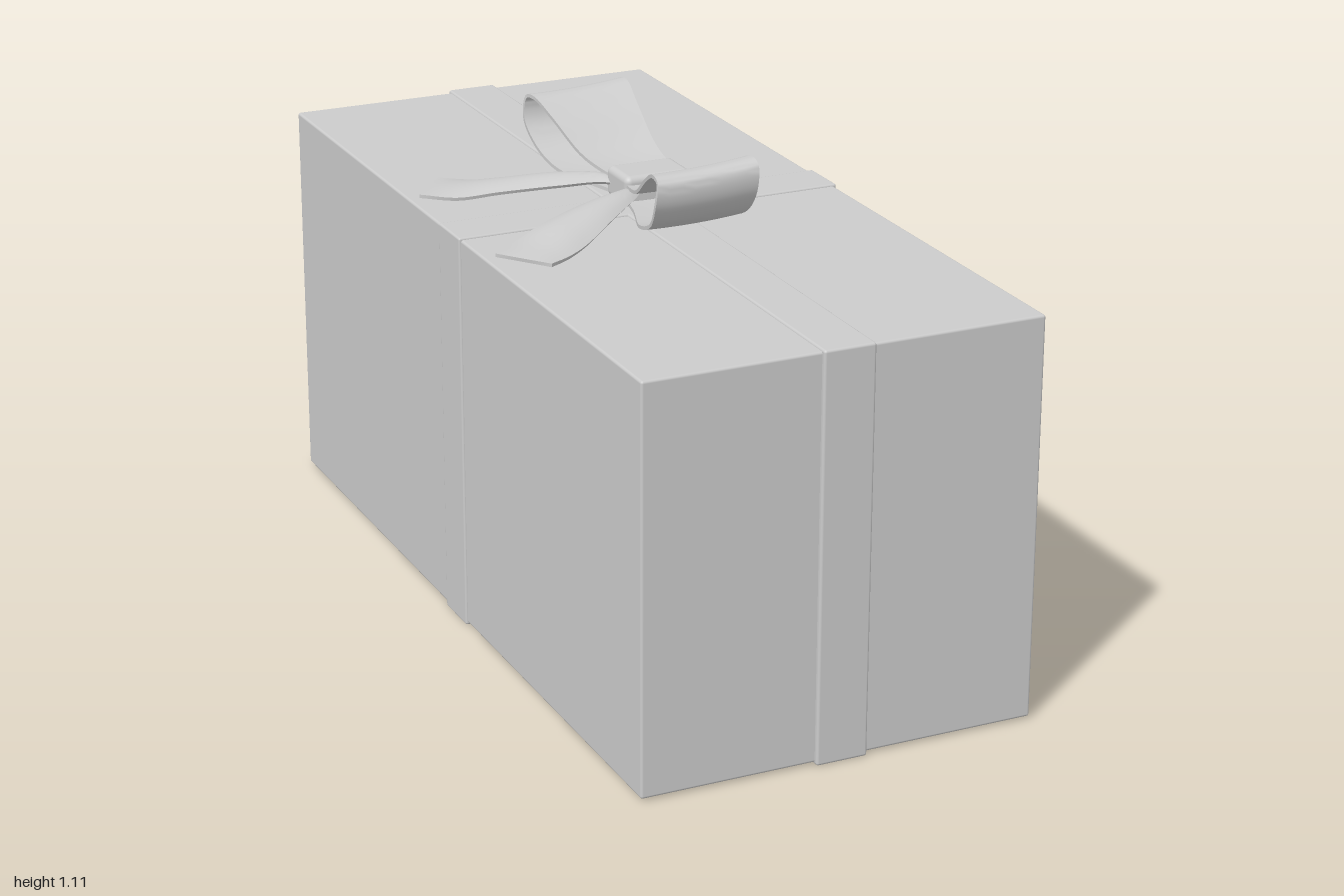
import * as THREE from 'three';
import { toCreasedNormals } from 'three/addons/utils/BufferGeometryUtils.js';
import { RoundedBoxGeometry } from 'three/addons/geometries/RoundedBoxGeometry.js';

const material = new THREE.MeshStandardMaterial({ color: 0xcccccc, side: THREE.DoubleSide });

function addMesh(group, name, geometry, x = 0, y = 0, z = 0) {
  const mesh = new THREE.Mesh(geometry, material);
  mesh.name = name;
  mesh.position.set(x, y, z);
  group.add(mesh);
  return mesh;
}

// Thin cloth band swept between two edge curves; arch(u) lifts its middle
function ribbonGeometry(leftEdge, rightEdge, arch, steps = 40, across = 8, half = 0.004) {
  const left = new THREE.CatmullRomCurve3(leftEdge);
  const right = new THREE.CatmullRomCurve3(rightEdge);
  const at = (u, v) => {
    const p = left.getPoint(u).lerp(right.getPoint(u), v);
    p.y += arch(u) * 4 * v * (1 - v);
    return p;
  };
  const positions = [], index = [], ring = 2 * (across + 1), e = 0.004;
  for (let i = 0; i <= steps; i++) {
    const u = i / steps;
    const u0 = Math.max(0, u - e), u1 = Math.min(1, u + e);
    for (let k = 0; k < ring; k++) {
      const top = k <= across;
      const v = (top ? k : ring - 1 - k) / across;
      const along = at(u1, v).sub(at(u0, v));
      const side = at(u, Math.min(1, v + e)).sub(at(u, Math.max(0, v - e)));
      const normal = along.cross(side).normalize();
      const p = at(u, v).addScaledVector(normal, top ? half : -half);
      positions.push(p.x, p.y, p.z);
    }
  }
  for (let i = 0; i < steps; i++) {
    for (let k = 0; k < ring; k++) {
      const a = i * ring + k, b = i * ring + (k + 1) % ring;
      index.push(a, a + ring, b + ring, a, b + ring, b);
    }
  }
  // close both cut ends
  const last = steps * ring;
  for (let k = 0; k < across; k++) {
    const m = ring - 1 - k;
    index.push(k, k + 1, m, k + 1, m - 1, m);
    index.push(last + k, last + m, last + k + 1, last + k + 1, last + m, last + m - 1);
  }
  const geometry = new THREE.BufferGeometry();
  geometry.setAttribute('position', new THREE.Float32BufferAttribute(positions, 3));
  geometry.setIndex(index);
  return toCreasedNormals(geometry, 0.9);
}

// Bow loop profile: z, y, x of inner edge, x of outer edge
const loopProfile = [
  [0.00, 0.980, -0.05, 0.09],
  [0.07, 0.982, -0.06, 0.095],
  [0.15, 1.002, -0.08, 0.10],
  [0.25, 1.060, -0.105, 0.105],
  [0.32, 1.092, -0.12, 0.112],
  [0.355, 1.085, -0.125, 0.112],
  [0.355, 1.035, -0.13, 0.110],
  [0.31, 0.980, -0.12, 0.110],
  [0.22, 0.948, -0.105, 0.108],
  [0.10, 0.942, -0.065, 0.10],
  [0.00, 0.948, -0.05, 0.09],
];

// Tail edges: outer x, y, z then inner x, y, z
const tailProfile = [
  [-0.02, 0.960, 0.040, -0.03, 0.955, 0.005],
  [-0.05, 0.962, 0.085, -0.07, 0.962, 0.040],
  [-0.14, 0.950, 0.165, -0.16, 0.958, 0.068],
  [-0.24, 0.928, 0.245, -0.29, 0.943, 0.122],
  [-0.30, 0.924, 0.290, -0.37, 0.928, 0.165],
  [-0.355, 0.926, 0.325, -0.44, 0.928, 0.220],
];

export function createModel() {
  const model = new THREE.Group();
  model.name = 'giftBox';

  // Box
  addMesh(model, 'box', new RoundedBoxGeometry(0.908, 0.908, 1.98, 2, 0.006), 0, 0.459, 0);

  // Crossing straps around the box
  addMesh(model, 'lengthwiseStrap', new RoundedBoxGeometry(0.118, 0.918, 2, 2, 0.006), 0, 0.459, 0);
  addMesh(model, 'crosswiseStrap', new RoundedBoxGeometry(0.918, 0.9176, 0.118, 2, 0.005), 0, 0.459, 0);

  // Bow: mirrored loops and tails with a band in the middle
  const bow = new THREE.Group();
  bow.name = 'bow';
  model.add(bow);
  for (const s of [1, -1]) {
    const side = s > 0 ? 'front' : 'back';
    const inner = loopProfile.map(([z, y, x]) => new THREE.Vector3(x, y - 0.003, s * z));
    const outer = loopProfile.map(([z, y, , x]) => new THREE.Vector3(x, y + 0.05 * Math.max(0, y - 0.95) + 0.002, s * z));
    addMesh(bow, side + 'Loop', ribbonGeometry(inner, outer, () => -0.004, 64));

    const far = tailProfile.map(([x, y, z]) => new THREE.Vector3(x, y, s * z));
    const near = tailProfile.map(([, , , x, y, z]) => new THREE.Vector3(x, y, s * z));
    addMesh(bow, side + 'Tail', ribbonGeometry(far, near, (u) => 0.018 * Math.sin(Math.PI * u)));
  }
  addMesh(bow, 'knot', new RoundedBoxGeometry(0.16, 0.07, 0.11, 4, 0.015), 0.02, 0.964, 0);

  return model;
}
